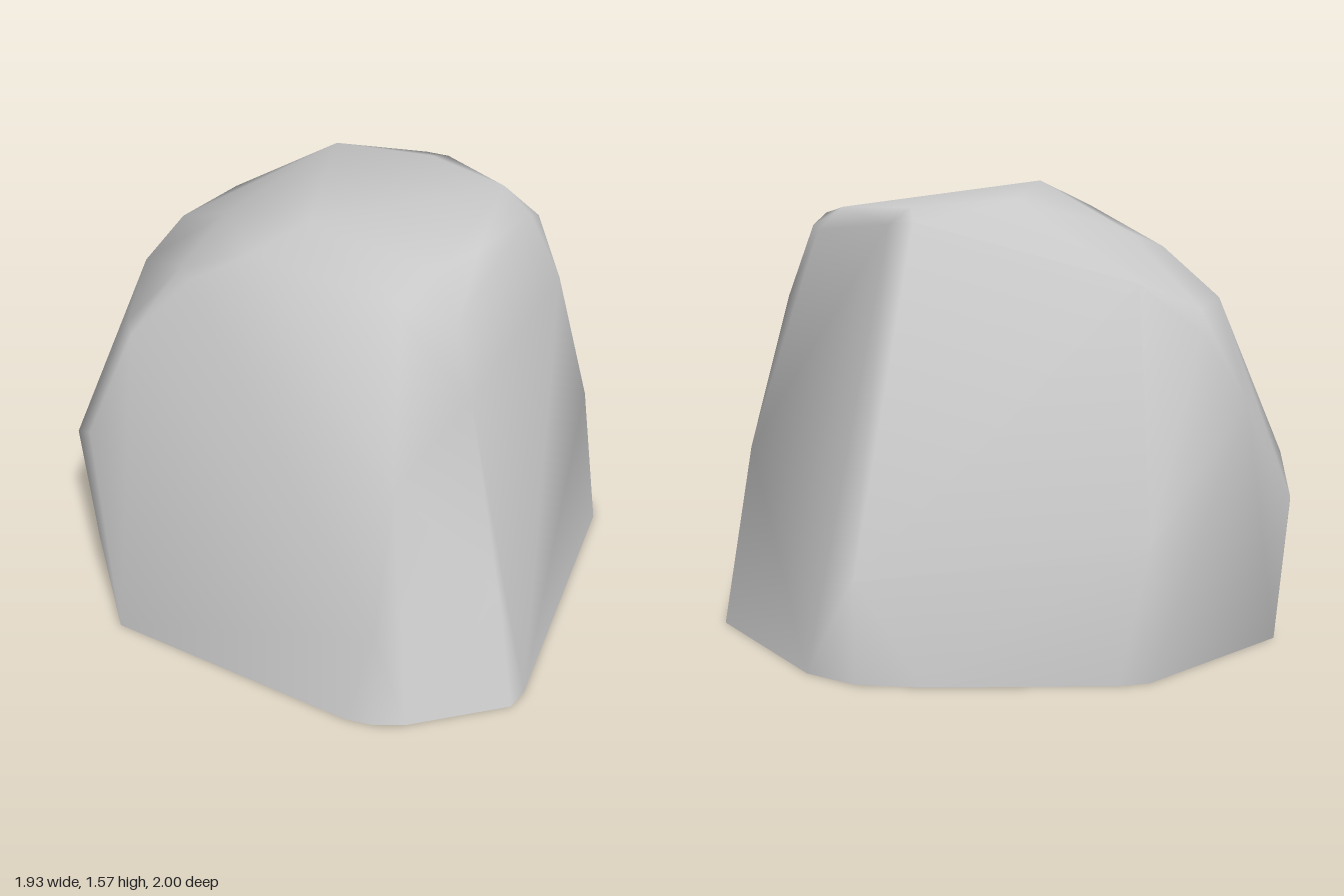
import * as THREE from 'three';
import { ConvexGeometry } from 'three/addons/geometries/ConvexGeometry.js';
import { mergeVertices } from 'three/addons/utils/BufferGeometryUtils.js';

// Ground outline of the boulder as [x, z]; paired points soften its corners
const base = [
  [-0.09, 1], [-0.01, 0.98], [0.89, 0.43], [0.94, 0.37], [0.96, -0.25], [0.89, -0.43],
  [0.73, -0.58], [0.22, -0.95], [0.12, -0.99], [-0.52, -0.93],
  [-0.97, -0.2], [-0.59, 0.69], [-0.53, 0.77], [-0.44, 0.84],
];

// Ridges as [x, y, z]
const crown = [
  [-0.23, 1.565, 0.03], [-0.18, 1.41, 0.45], [-0.02, 1.49, 0.43], [0.2, 1.475, 0.4],
  [0.53, 1.46, 0.3], [0.6, 1.42, 0.27], [0.62, 1.41, 0.2], [0.56, 1.49, 0.13],
  [0.615, 1.45, -0.24], [0.56, 1.46, -0.3], [0.5, 1.5, -0.2], [0.25, 1.53, -0.45],
];
const frontRidge = [[-0.03, 1.35, 0.56], [-0.05, 1.12, 0.67], [-0.07, 0.43, 0.88]];
const frontRightEdge = [[-0.33, 0.86, 0.62], [-0.48, 0.34, 0.71]];
const frontLeftEdge = [[0.67, 1.17, 0.33], [0.805, 0.63, 0.39]];
const backLeftEdge = [[0.87, 0.33, -0.4]];
const rightRidge = [
  [-0.41, 1.47, -0.05], [-0.56, 1.33, -0.23], [-0.52, 1.33, -0.33], [-0.71, 1.1, -0.38],
  [-0.67, 1.1, -0.47], [-0.86, 0.68, -0.49], [-0.93, 0.3, -0.37],
];
const backRidge = [
  [0.04, 1.27, -0.82], [-0.17, 1.18, -0.885], [-0.15, 1.1, -0.92], [-0.28, 0.87, -1],
  [0.13, 0.45, -0.99], [-0.58, 0.5, -0.93], [-0.68, 0.45, -0.84], [-0.83, 0.58, -0.65],
];
const backSlope = [[-0.25, 1.4, -0.45], [-0.46, 1.18, -0.68]];

export function createModel() {
  const points = [
    ...base.map(([x, z]) => [x, 0, z]),
    ...crown, ...frontRidge, ...frontRightEdge, ...frontLeftEdge, ...backLeftEdge,
    ...rightRidge, ...backRidge, ...backSlope,
  ].map((p) => new THREE.Vector3(...p));

  // Wrap a skin round the points, leaving the underside open
  const hull = new ConvexGeometry(points).getAttribute('position');
  const skin = [];
  for (let i = 0; i < hull.count; i += 3) {
    if ([0, 1, 2].every((k) => hull.getY(i + k) < 0.001)) continue;
    for (let k = 0; k < 3; k++) skin.push(hull.getX(i + k), hull.getY(i + k), hull.getZ(i + k));
  }
  const soup = new THREE.BufferGeometry();
  soup.setAttribute('position', new THREE.Float32BufferAttribute(skin, 3));

  // Shared corners give smooth shading in which the broad faces dominate
  const geometry = mergeVertices(soup);
  geometry.computeVertexNormals();

  const boulder = new THREE.Mesh(
    geometry,
    new THREE.MeshStandardMaterial({ color: 0xcccccc, side: THREE.DoubleSide }),
  );
  boulder.name = 'boulder';

  const group = new THREE.Group();
  group.name = 'rock';
  group.add(boulder);
  return group;
}
